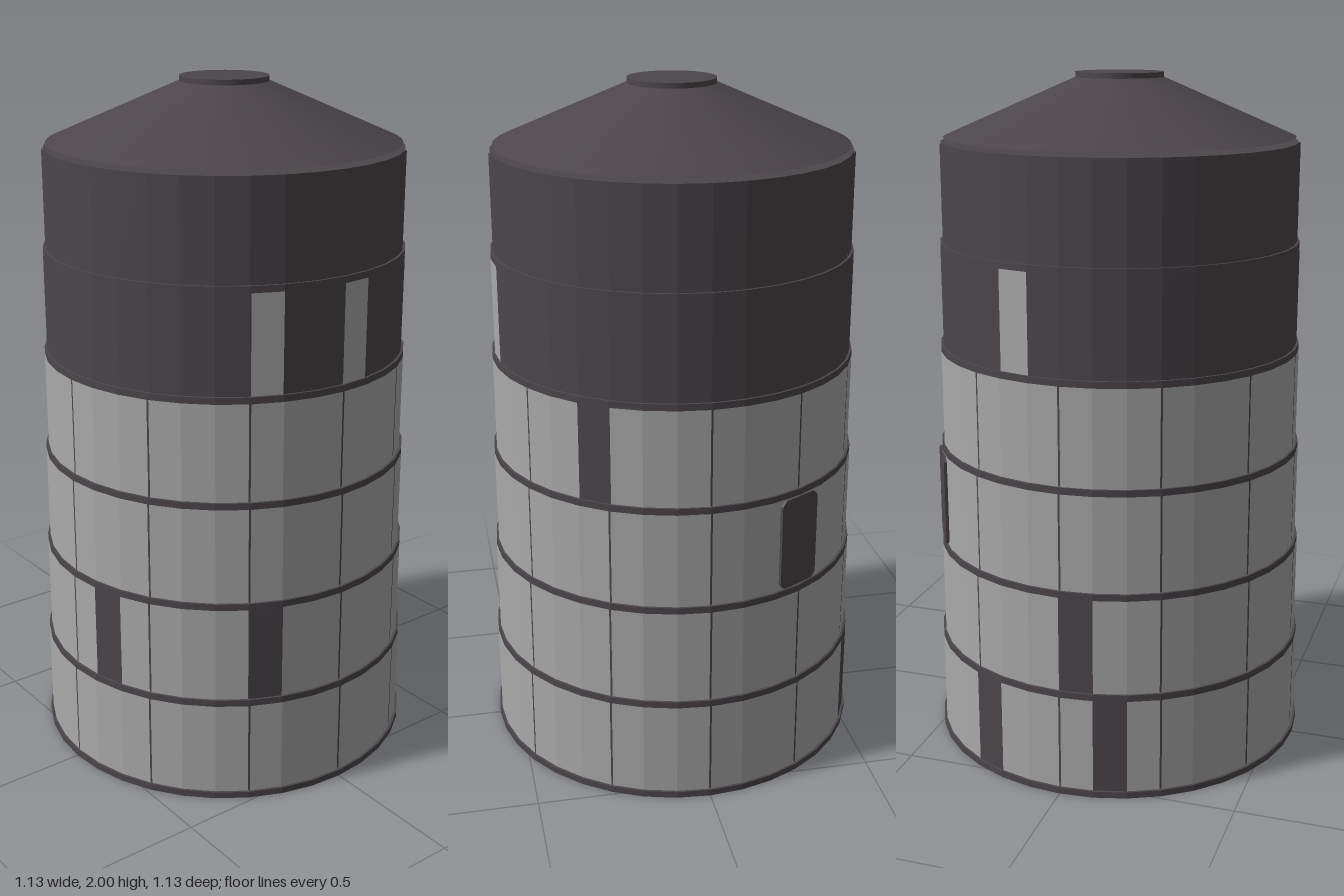
import * as THREE from 'three';

const light = new THREE.MeshStandardMaterial({ color: 0xaaaaaa, flatShading: true });
light.name = 'light grey panel';
const dark = new THREE.MeshStandardMaterial({ color: 0x4c464b, flatShading: true });
dark.name = 'dark grey panel';
const roofDark = new THREE.MeshStandardMaterial({ color: 0x4c464b });
roofDark.name = 'dark grey roof';

const TIERS = 6, STEP = 0.301, RING = 0.019, SEGMENT = 10;
const rad = THREE.MathUtils.degToRad;
const ringRadius = (k) => 0.564 - 0.0074 * k;
const panelRadius = (k) => ringRadius(k) - 0.007;

// Odd-coloured ten-degree strips in each tier, by start angle from the front
const STRIPS = [[240, 280], [10, 60, 270], [], [140], [60, 90, 250], []];

function add(parent, name, geometry, material, y = 0) {
  const mesh = new THREE.Mesh(geometry, material);
  mesh.name = name;
  mesh.position.y = y;
  parent.add(mesh);
  return mesh;
}

// Curved outer skin between two angles in degrees
function skin(radius, height, from, to) {
  const sides = Math.max(1, Math.round((to - from) / SEGMENT));
  return new THREE.CylinderGeometry(radius, radius, height, sides, 1, true, rad(from), rad(to - from));
}

export function createModel() {
  const model = new THREE.Group();
  model.name = 'tieredTower';

  for (let k = 0; k < TIERS; k++) {
    const tier = new THREE.Group();
    tier.name = `tier${k + 1}`;
    model.add(tier);
    const bottom = k * STEP, panelBottom = bottom + RING;
    const top = k === TIERS - 1 ? 1.807 : bottom + STEP;
    const height = top - panelBottom, mid = (top + panelBottom) / 2;
    const r = panelRadius(k);

    // Ledge ring below the panels and solid core behind them
    add(tier, 'ledgeRing', new THREE.CylinderGeometry(ringRadius(k), ringRadius(k), RING, 36), dark, bottom + RING / 2);
    add(tier, 'core', new THREE.CylinderGeometry(r - 0.004, r - 0.004, height, 36), dark, mid);

    // Twelve panels with narrow seams, each made of three strips
    const [main, odd] = k < 4 ? [light, dark] : [dark, light];
    for (let a = 0; a < 360; a += SEGMENT) {
      const from = a + (a % 30 === 0 ? 0.3 : 0);
      const to = a + SEGMENT - (a % 30 === 20 ? 0.3 : 0);
      const isOdd = STRIPS[k].includes(a);
      add(tier, isOdd ? 'window' : 'wallPanel', skin(r, height, from, to), isOdd ? odd : main, mid);
    }
  }

  // Hatch with clipped corners on the back of the third tier
  const w = 0.07, h = 0.138, c = 0.016;
  const outline = new THREE.Shape([
    [-w, -h + c], [-w + c, -h], [w - c, -h], [w, -h + c],
    [w, h - c], [w - c, h], [-w + c, h], [-w, h - c],
  ].map(([x, y]) => new THREE.Vector2(x, y)));
  const hatch = add(model, 'hatch', new THREE.ExtrudeGeometry(outline, { depth: 0.009, bevelEnabled: false }), dark, 0.763);
  const hatchAngle = rad(210), hatchRadius = panelRadius(2) - 0.006;
  hatch.position.x = Math.sin(hatchAngle) * hatchRadius;
  hatch.position.z = Math.cos(hatchAngle) * hatchRadius;
  hatch.rotation.y = hatchAngle;

  // Conical roof floating just above the wall, with a flat cap
  add(model, 'roof', new THREE.CylinderGeometry(0.127, 0.508, 0.165, 64), roofDark, 1.9025);
  add(model, 'roofCap', new THREE.CylinderGeometry(0.127, 0.127, 0.015, 64), roofDark, 1.9925);
  return model;
}
